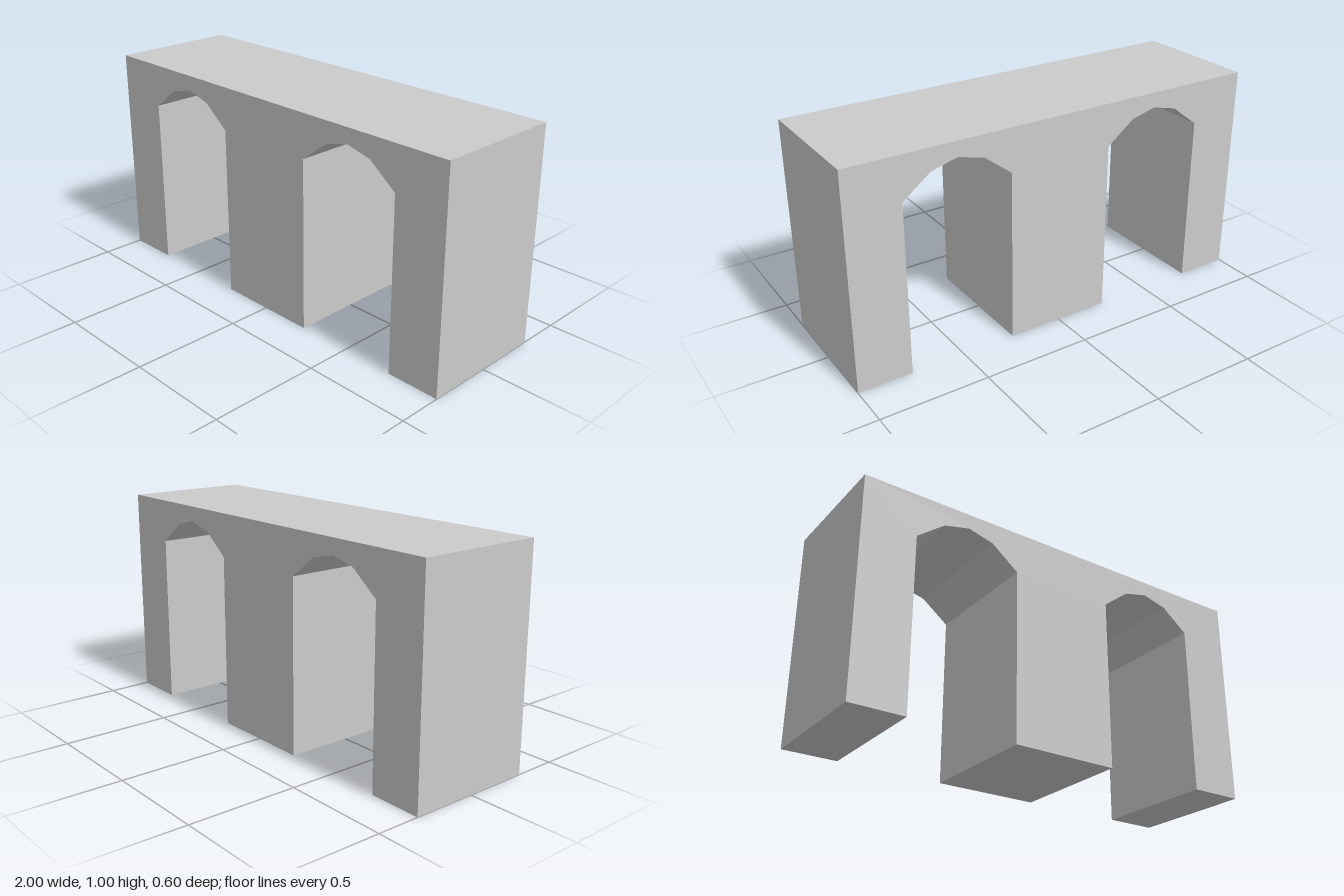
import * as THREE from 'three';

const HALF_LENGTH = 1, HEIGHT = 1, DEPTH = 0.6;
const ARCH_CENTRES = [-0.5, 0.5];

// Opening outline relative to the arch centre: straight jambs, four-facet arch
const OPENING = [
  [-0.25, 0], [-0.25, 0.8], [-0.12, 0.9], [0, 0.93], [0.12, 0.9], [0.25, 0.8], [0.25, 0],
];

export function createModel() {
  const group = new THREE.Group();
  group.name = 'archedBridge';

  // Wall outline: along the ground, up and over each opening, then the deck
  const outline = [new THREE.Vector2(-HALF_LENGTH, 0)];
  for (const cx of ARCH_CENTRES) {
    for (const [x, y] of OPENING) outline.push(new THREE.Vector2(cx + x, y));
  }
  outline.push(
    new THREE.Vector2(HALF_LENGTH, 0),
    new THREE.Vector2(HALF_LENGTH, HEIGHT),
    new THREE.Vector2(-HALF_LENGTH, HEIGHT),
  );

  // Piers, arches and deck as one solid block
  const geometry = new THREE.ExtrudeGeometry(new THREE.Shape(outline), {
    depth: DEPTH,
    bevelEnabled: false,
  });
  geometry.translate(0, 0, -DEPTH / 2);

  const stone = new THREE.MeshStandardMaterial({ color: 0xcccccc, flatShading: true });
  const body = new THREE.Mesh(geometry, stone);
  body.name = 'bridgeBody';
  group.add(body);

  return group;
}
